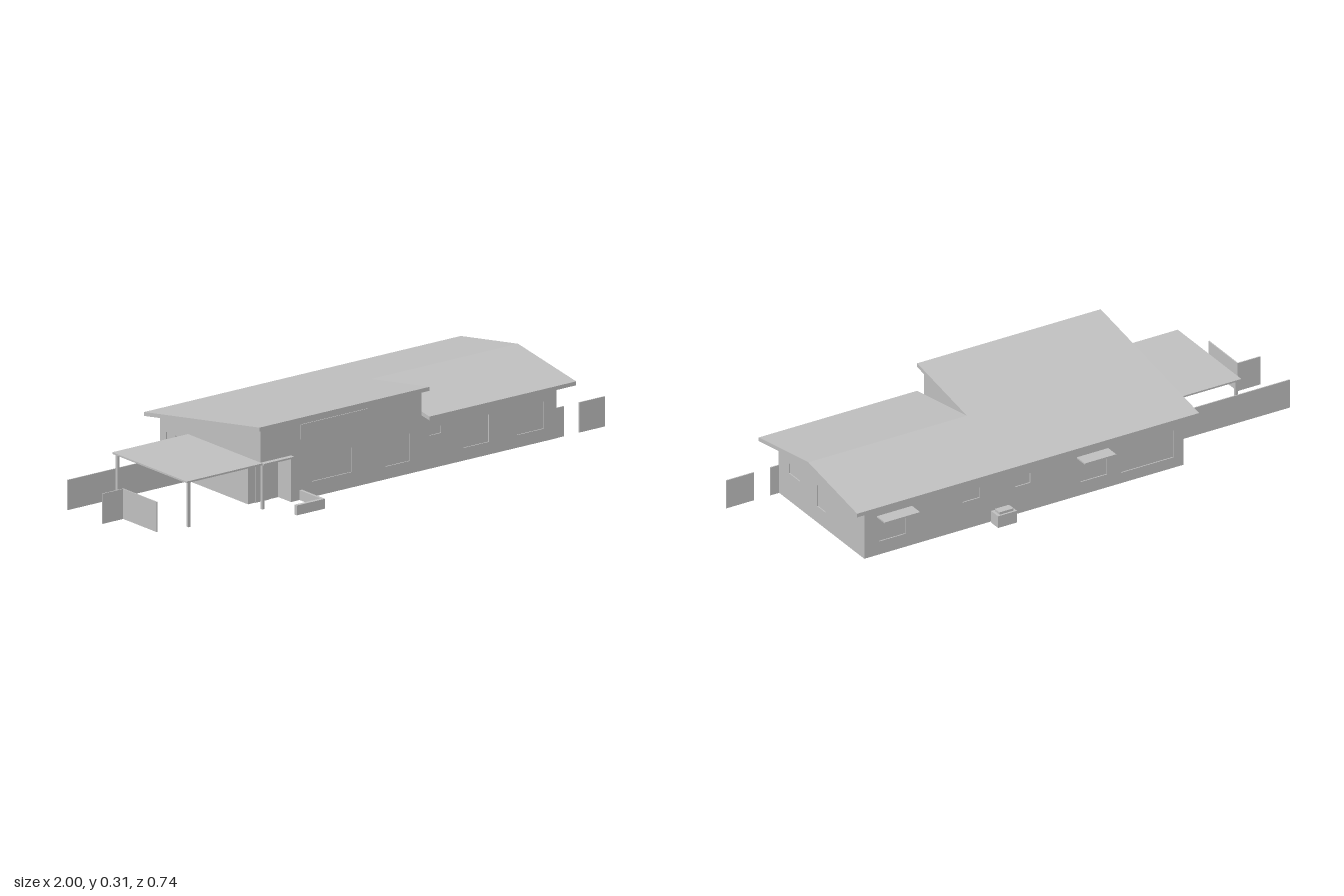
import * as THREE from 'three';

const T = 0.012; // wall thickness
const FRONT = 0.24, BACK = -0.315, LEFT = -0.48, RIGHT = 0.79, STEP = 0.21;
const ROOF_T = 0.014;
const RIDGE = -0.035;

// Roof top heights at a given z
const highRoof = (z) => 0.204 + 0.167 * (z + 0.35);
const lowRoof = (z) => (z < RIDGE ? highRoof(z) : highRoof(RIDGE) - 0.164 * (z - RIDGE));

export function createModel() {
  const house = new THREE.Group();
  house.name = 'house';
  const grey = new THREE.MeshStandardMaterial({ color: 0xc0c0c0 });
  grey.name = 'plain grey';

  function add(name, geometry) {
    const mesh = new THREE.Mesh(geometry, grey);
    mesh.name = name;
    house.add(mesh);
    return mesh;
  }

  // Box given by its limits on each axis
  function box(name, x0, x1, y0, y1, z0, z1) {
    const g = new THREE.BoxGeometry(x1 - x0, y1 - y0, z1 - z0);
    g.translate((x0 + x1) / 2, (y0 + y1) / 2, (z0 + z1) / 2);
    return add(name, g);
  }

  // Flat outline with rectangular openings [u0, u1, v0, v1]
  function slab(points, openings, depth) {
    const shape = new THREE.Shape(points.map(([u, v]) => new THREE.Vector2(u, v)));
    for (const [u0, u1, v0, v1] of openings) {
      const hole = [[u0, v0], [u0, v1], [u1, v1], [u1, v0]];
      shape.holes.push(new THREE.Path(hole.map(([u, v]) => new THREE.Vector2(u, v))));
    }
    return new THREE.ExtrudeGeometry(shape, { depth, bevelEnabled: false });
  }

  // Wall across x, from z to z + T, with set-back panes
  function longWall(name, points, openings, z) {
    add(name, slab(points, openings, T).translate(0, 0, z));
    for (const [x0, x1, y0, y1] of openings) {
      box(name + 'Pane', x0, x1, y0, y1, z + T / 2 - 0.002, z + T / 2 + 0.002);
    }
  }

  // Solid with a (z, y) outline, spanning x0 to x1
  function crossSolid(name, points, openings, x0, x1) {
    add(name, slab(points, openings, x1 - x0).rotateY(-Math.PI / 2).translate(x1, 0, 0));
    for (const [z0, z1, y0, y1] of openings) {
      const m = (x0 + x1) / 2;
      box(name + 'Pane', m - 0.002, m + 0.002, y0, y1, z0, z1);
    }
  }

  // Front wall, with the entrance corner cut away
  const highTop = highRoof(FRONT) - ROOF_T, lowTop = lowRoof(FRONT) - ROOF_T;
  longWall('frontWall',
    [[-0.35, 0], [RIGHT, 0], [RIGHT, lowTop], [STEP, lowTop], [STEP, highTop],
      [LEFT, highTop], [LEFT, 0.163], [-0.35, 0.163]],
    [[-0.26, -0.09, 0.055, 0.143], [0.055, 0.16, 0.045, 0.143], [0.245, 0.295, 0.118, 0.145],
      [0.39, 0.5, 0.045, 0.143], [0.62, 0.735, 0.045, 0.143]],
    FRONT - T);
  box('clerestoryWindow', -0.31, -0.02, 0.215, 0.268, FRONT, FRONT + 0.003);

  // Back wall
  const backTop = highRoof(BACK) - ROOF_T;
  longWall('backWall',
    [[LEFT, 0], [RIGHT, 0], [RIGHT, backTop], [LEFT, backTop]],
    [[0.626, 0.73, 0.05, 0.143], [0.33, 0.4, 0.105, 0.143], [0.13, 0.19, 0.105, 0.143],
      [-0.175, -0.07, 0.05, 0.143], [-0.44, -0.23, 0.04, 0.143]],
    BACK);

  // Gable end walls
  crossSolid('gableWall',
    [[BACK, 0], [FRONT, 0], [FRONT, lowTop], [RIDGE, lowRoof(RIDGE) - ROOF_T], [BACK, backTop]],
    [[0.1, 0.17, 0.105, 0.143], [-0.065, -0.01, 0.062, 0.143]],
    RIGHT - T, RIGHT);
  crossSolid('carportSideWall',
    [[BACK, 0], [0.17, 0], [0.17, 0.163], [FRONT, 0.163], [FRONT, highTop], [BACK, backTop]],
    [[-0.28, -0.235, 0.01, 0.143], [-0.228, -0.18, 0.01, 0.143]],
    LEFT, LEFT + T);

  // Wall filling the step between the two roofs
  crossSolid('roofStepWall',
    [[RIDGE, lowRoof(RIDGE) - ROOF_T], [FRONT, lowTop], [FRONT, highTop]], [], STEP - T, STEP);

  // Recessed entrance
  box('entranceBackWall', LEFT, -0.35, 0, 0.163, 0.17 - T, 0.17);
  box('entranceSideWall', -0.35, -0.35 + T, 0, 0.163, 0.17 - T, FRONT);
  box('entranceDoor', -0.45, -0.39, 0, 0.143, 0.17, 0.173);
  box('entranceCeiling', LEFT, -0.35, 0.16, 0.166, 0.16, 0.258);

  // Roofs: one high single slope, one lower gable
  const zF = 0.285, zB = -0.35;
  crossSolid('highRoof',
    [[zB, highRoof(zB) - ROOF_T], [zF, highRoof(zF) - ROOF_T], [zF, highRoof(zF)], [zB, highRoof(zB)]],
    [], -0.52, STEP);
  const under = [zB, RIDGE, zF].map((z) => [z, lowRoof(z) - ROOF_T]);
  const over = [zF, RIDGE, zB].map((z) => [z, lowRoof(z)]);
  crossSolid('lowRoof', [...under, ...over], [], STEP, 0.84);

  // Carport
  box('carportRoof', -0.805, LEFT, 0.16, 0.166, -0.16, 0.25);
  for (const [x, z] of [[-0.79, 0.24], [-0.79, -0.15], [-0.472, 0.24]]) {
    box('carportPost', x - 0.005, x + 0.005, 0, 0.162, z - 0.005, z + 0.005);
  }

  // Fences
  const F = 0.002, H = 0.107;
  box('backFence', -1, LEFT, 0, H, -0.157 - F, -0.157 + F);
  box('sideFence', -0.91 - F, -0.91 + F, 0, H, 0.035, 0.22);
  box('shortFence', -1, -0.91, 0, H, 0.035 - F, 0.035 + F);
  box('gateFence', RIGHT, 0.825, 0, H, 0.236 - F, 0.236 + F);
  box('gateFence', 0.89, 1, 0, H, 0.236 - F, 0.236 + F);

  // Low garden wall by the entrance
  box('gardenWall', -0.313, -0.303, 0, 0.035, FRONT, 0.368);
  box('gardenWall', -0.425, -0.303, 0, 0.035, 0.355, 0.368);

  // Back window canopies and service unit
  box('windowCanopy', -0.18, -0.055, 0.145, 0.15, -0.367, BACK);
  box('windowCanopy', 0.6, 0.74, 0.145, 0.15, -0.367, BACK);
  box('serviceUnit', 0.215, 0.29, 0, 0.045, -0.367, -0.322);
  box('serviceUnitCap', 0.225, 0.28, 0.045, 0.054, -0.36, -0.33);

  // Inside partitions
  const P = 0.004, top = 0.19;
  for (const x of [-0.2, 0.03, 0.21, 0.36, 0.56]) box('partition', x - P, x + P, 0, top, 0.02, FRONT - T);
  for (const x of [-0.21, 0.04, 0.24, 0.46]) box('partition', x - P, x + P, 0, top, BACK + T, -0.06);
  for (const [x0, x1] of [[-0.2, -0.06], [0.03, 0.15], [0.21, 0.3], [0.36, 0.5], [0.56, 0.7]]) {
    box('corridorWall', x0, x1, 0, top, 0.02 - P, 0.02 + P);
    box('corridorWall', x0 + 0.03, x1 + 0.04, 0, top, -0.06 - P, -0.06 + P);
  }

  // Beds and tables
  for (const [x, z] of [[-0.36, -0.22], [-0.12, -0.2], [0.13, -0.2], [0.35, -0.2], [0.62, -0.2],
    [-0.28, 0.1], [-0.09, 0.13], [0.12, 0.13], [0.45, 0.14], [0.67, 0.14]]) {
    box('furniture', x - 0.05, x + 0.05, 0.005, 0.035, z - 0.04, z + 0.04);
  }
  return house;
}
